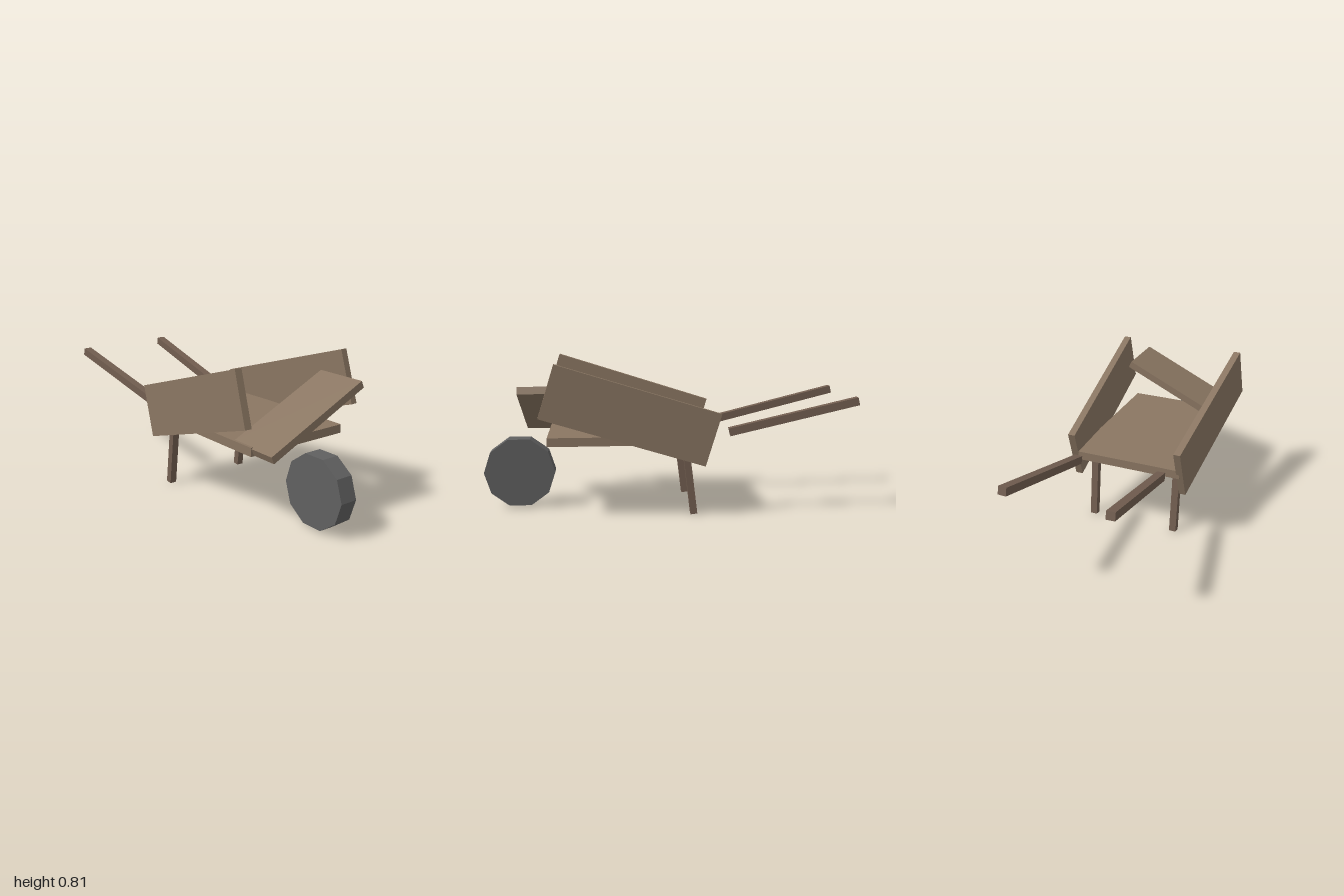
import * as THREE from 'three';

const deg = THREE.MathUtils.degToRad;
const material = (color) => new THREE.MeshStandardMaterial({ color, flatShading: true });

export function createModel() {
  const group = new THREE.Group();
  const plankWood = material(0x8a7662);
  const poleWood = material(0x725e50);
  const wheelGrey = material(0x606060);

  // Adds a plank: size, centre and rotation (degrees) as [x, y, z]
  function plank(name, mat, size, centre, rotation = [0, 0, 0]) {
    const mesh = new THREE.Mesh(new THREE.BoxGeometry(...size), mat);
    mesh.name = name;
    mesh.position.set(...centre);
    mesh.rotation.set(...rotation.map(deg));
    group.add(mesh);
  }

  // Tray floor and the loose, slanting end board
  plank('trayFloor', plankWood, [0.86, 0.046, 0.6], [0.21, 0.408, 0]);
  plank('endBoard', plankWood, [0.285, 0.04, 0.64], [0.643, 0.542, 0], [25, 0, 0]);

  // Mirrored pairs: side boards, handles and legs
  for (const [side, s] of [['front', 1], ['back', -1]]) {
    plank(side + 'SideBoard', plankWood, [0.9, 0.286, 0.038], [0.208, 0.544, 0.325 * s], [0, -3 * s, 17.3]);
    plank(side + 'Handle', poleWood, [0.7, 0.042, 0.045], [-0.656, 0.522, 0.254 * s], [0, 3 * s, -13.4]);
    plank(side + 'Leg', poleWood, [0.036, 0.4, 0.038], [-0.103, 0.201, 0.241 * s], [0, 0, -7]);
  }

  // Ten-sided wheel with a flat resting at the bottom
  const wheelShape = new THREE.CylinderGeometry(0.193, 0.193, 0.097, 10, 1, false, Math.PI / 2);
  wheelShape.rotateX(Math.PI / 2);
  const wheel = new THREE.Mesh(wheelShape, wheelGrey);
  wheel.name = 'wheel';
  wheel.position.set(0.807, 0.197, 0);
  group.add(wheel);

  return group;
}
